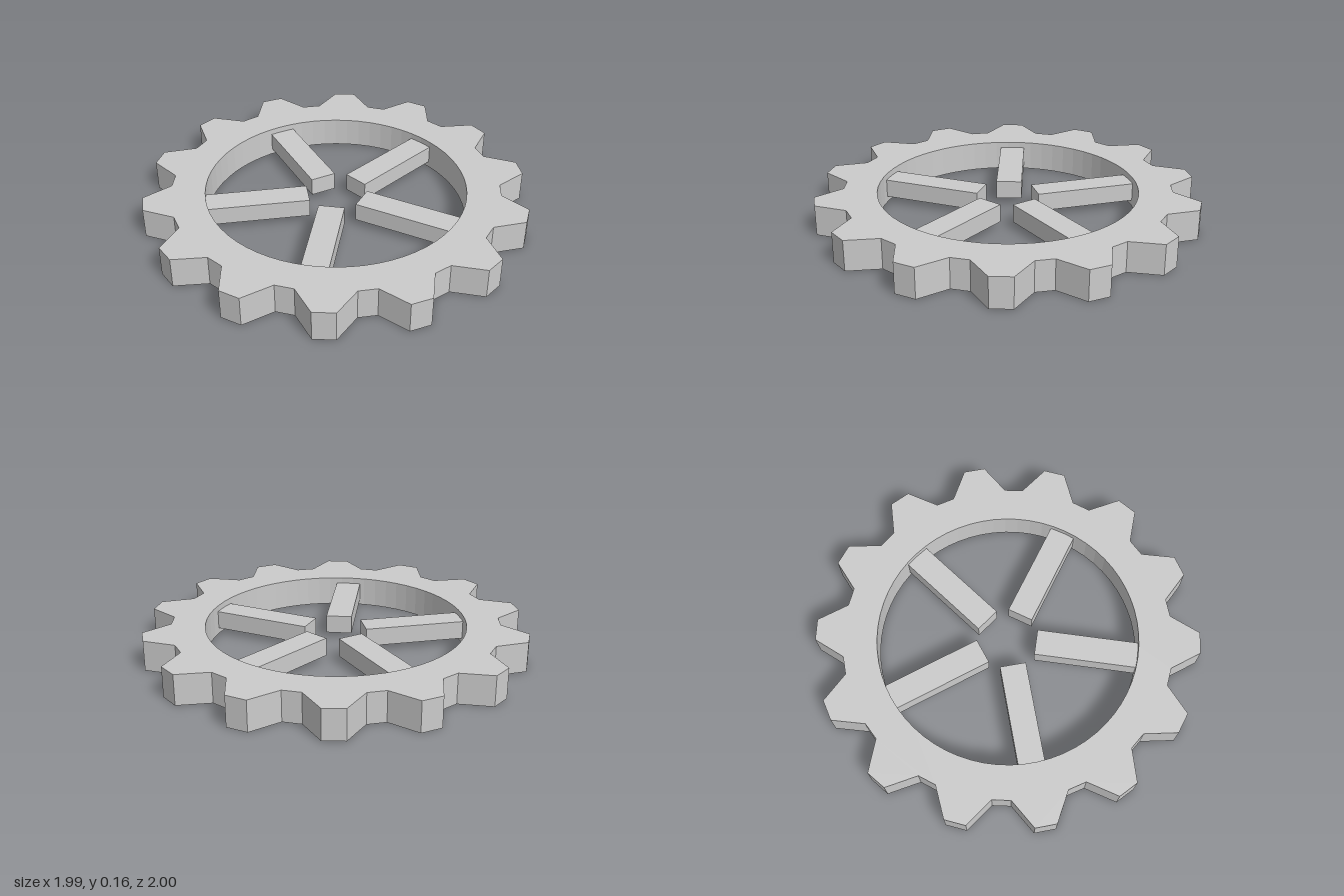
import * as THREE from 'three';

const TEETH = 14;
const SPOKES = 5;
const HEIGHT = 0.16;
const TIP_RADIUS = 1;
const ROOT_RADIUS = 0.857;
const HOLE_RADIUS = 0.68;

export function createModel() {
  const group = new THREE.Group();
  const material = new THREE.MeshStandardMaterial({ color: 0xcccccc, flatShading: true });

  // Toothed ring: each tooth takes four equal steps, root - tip - tip - root
  const radii = [ROOT_RADIUS, TIP_RADIUS, TIP_RADIUS, ROOT_RADIUS];
  const outline = [];
  for (let i = 0; i < TEETH * 4; i++) {
    const a = (i / (TEETH * 4)) * Math.PI * 2;
    const r = radii[i % 4];
    outline.push(new THREE.Vector2(r * Math.cos(a), r * Math.sin(a)));
  }
  const shape = new THREE.Shape(outline);
  shape.holes.push(new THREE.Path().absarc(0, 0, HOLE_RADIUS, 0, Math.PI * 2, true));

  const ringGeometry = new THREE.ExtrudeGeometry(shape, {
    depth: HEIGHT, bevelEnabled: false, curveSegments: 32,
  });
  ringGeometry.rotateX(Math.PI / 2).translate(0, HEIGHT, 0);
  const ring = new THREE.Mesh(ringGeometry, material);
  ring.name = 'toothedRing';
  group.add(ring);

  // Thinner spokes, sunk slightly into the ring and stopping short of the centre
  const inner = 0.148;
  const outer = HOLE_RADIUS + 0.02;
  const spokeGeometry = new THREE.BoxGeometry(outer - inner, HEIGHT * 0.6, 0.136);
  spokeGeometry.translate((inner + outer) / 2, HEIGHT / 2, 0);
  for (let i = 0; i < SPOKES; i++) {
    const spoke = new THREE.Mesh(spokeGeometry, material);
    spoke.name = `spoke${i + 1}`;
    spoke.rotation.y = (i / SPOKES) * Math.PI * 2;
    group.add(spoke);
  }

  return group;
}
